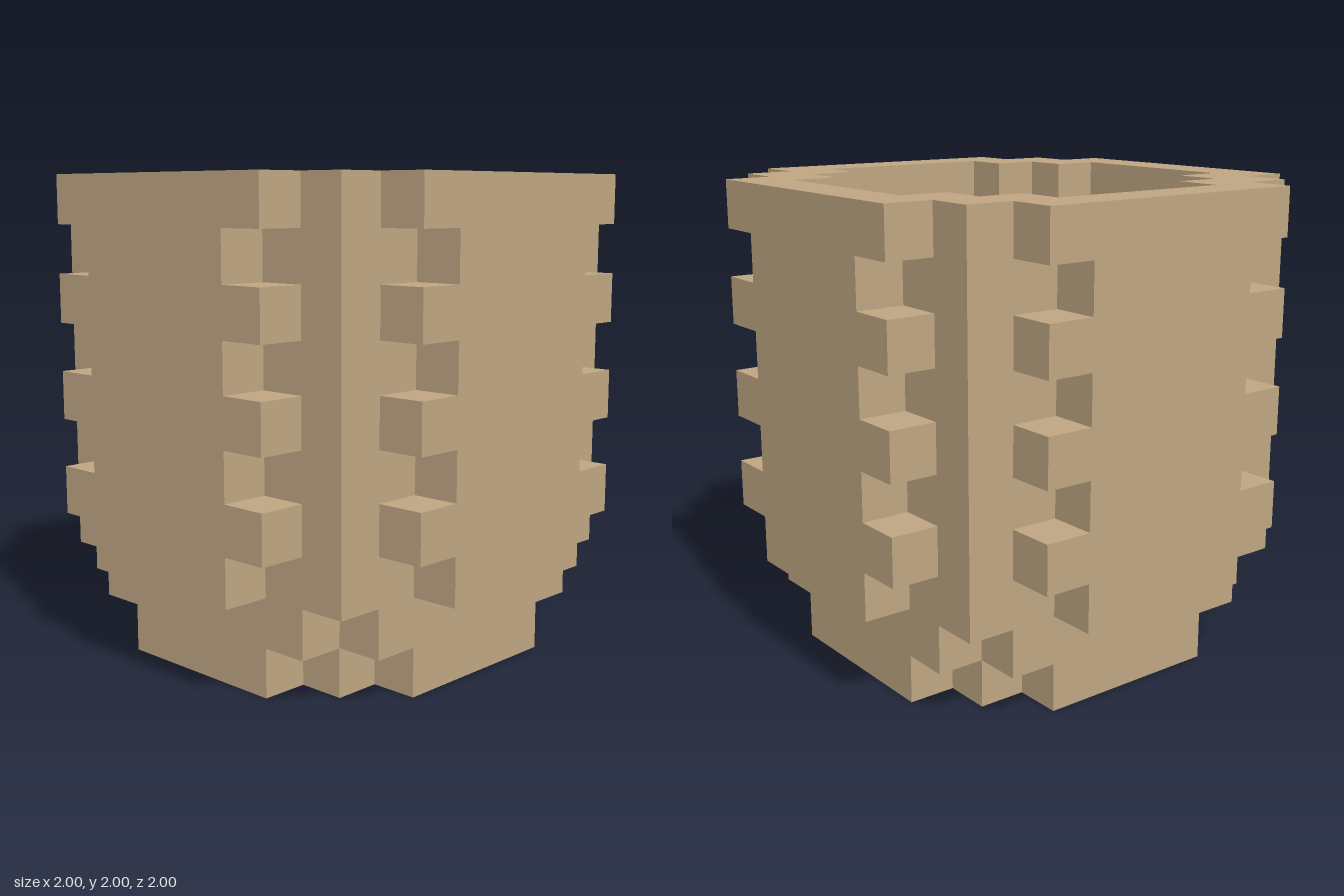
import * as THREE from 'three';

// Repeats one corner's [x, z] steps around all four corners
function steppedLoop(corner) {
  const points = [];
  for (let turn = 0; turn < 4; turn++) {
    for (const [x, y] of corner) {
      let p = [x, y];
      for (let i = 0; i < turn; i++) p = [-p[1], p[0]];
      points.push(new THREE.Vector2(p[0], p[1]));
    }
  }
  return points;
}

export function createModel() {
  const group = new THREE.Group();
  group.name = 'blockPot';
  const clay = new THREE.MeshStandardMaterial({ color: 0xbfa683 });
  clay.name = 'tan clay';

  // Horizontal slab or ring between two heights
  function addLayer(name, bottom, top, outer, inner) {
    const shape = new THREE.Shape(steppedLoop(outer));
    if (inner) shape.holes.push(new THREE.Path(steppedLoop(inner).reverse()));
    const geometry = new THREE.ExtrudeGeometry(shape, { depth: top - bottom, bevelEnabled: false });
    geometry.rotateX(-Math.PI / 2);
    const mesh = new THREE.Mesh(geometry, clay);
    mesh.name = name;
    mesh.position.y = bottom;
    group.add(mesh);
  }

  const roundSteps = [[0.8, 0.4], [0.6, 0.4], [0.6, 0.6], [0.4, 0.6], [0.4, 0.8]];
  const footSteps = [[0.8, 0.6], [0.6, 0.6], [0.6, 0.8]];
  const rimSteps = [[1, 0.6], [0.8, 0.6], [0.8, 0.8], [0.6, 0.8], [0.6, 1]];
  const cavitySteps = [[0.6, 0.4], [0.4, 0.4], [0.4, 0.6]];

  addLayer('floor', 0, 0.2, roundSteps);
  addLayer('foot', 0.2, 0.4, footSteps, cavitySteps);
  addLayer('body', 0.4, 1.8, [[0.8, 0.8]], cavitySteps);
  addLayer('rim', 1.8, 2, rimSteps, roundSteps);

  // Raised side panel with notched edges, alternating narrow and wide courses
  const right = [];
  for (let i = 0; i < 7; i++) {
    const half = i % 2 ? 0.6 : 0.4;
    const y = 0.4 + i * 0.2;
    right.push(new THREE.Vector2(half, y), new THREE.Vector2(half, y + 0.2));
  }
  const left = right.map((p) => new THREE.Vector2(-p.x, p.y)).reverse();
  const panel = new THREE.ExtrudeGeometry(new THREE.Shape([...right, ...left]), { depth: 0.2, bevelEnabled: false });
  panel.translate(0, 0, 0.8);
  ['front', 'left', 'back', 'right'].forEach((side, i) => {
    const mesh = new THREE.Mesh(panel, clay);
    mesh.name = side + 'Panel';
    mesh.rotation.y = i * Math.PI / 2;
    group.add(mesh);
  });

  return group;
}
